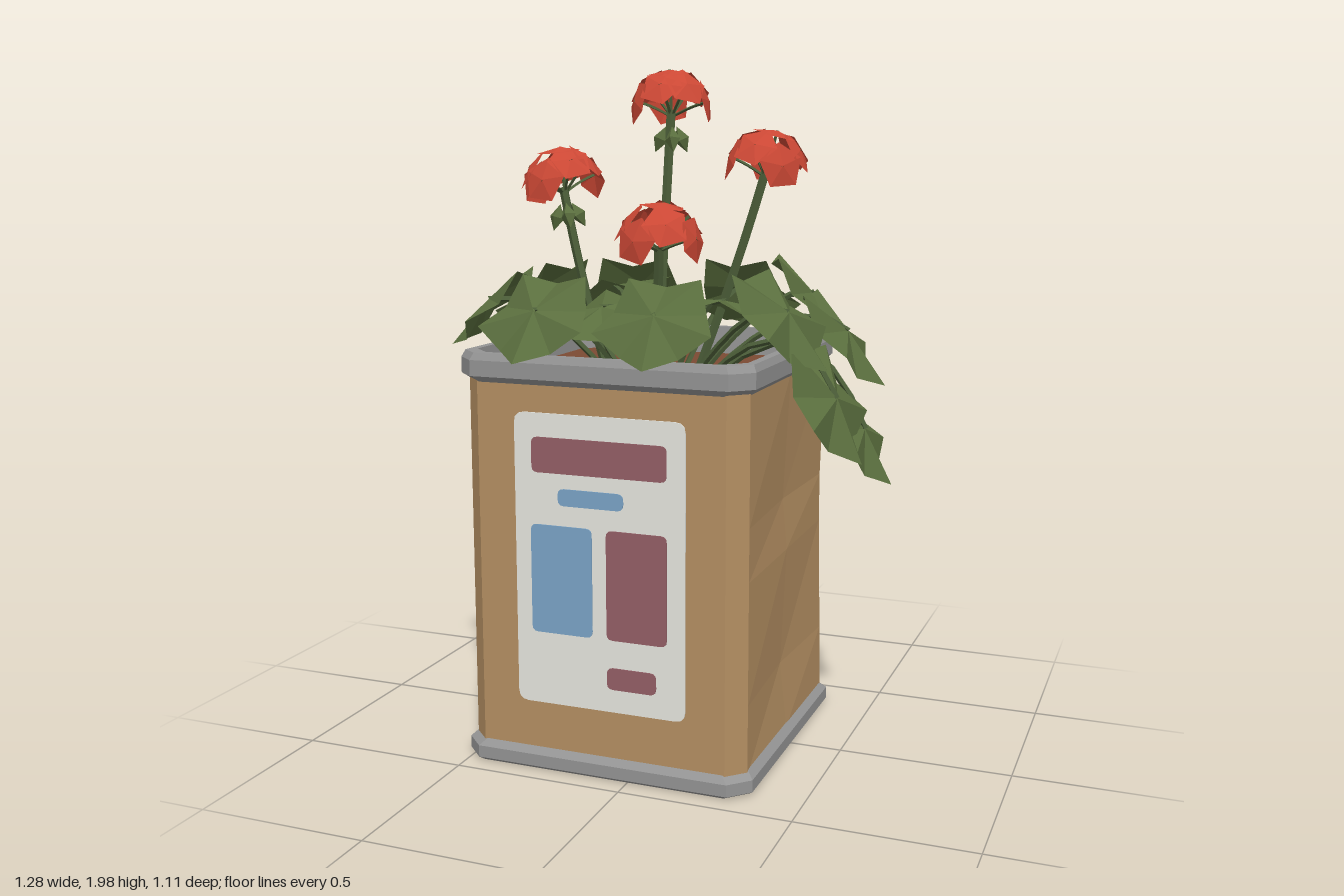
import * as THREE from 'three';

const mat = (name, color, extra = {}) => {
  const m = new THREE.MeshStandardMaterial({ color, flatShading: true, ...extra });
  m.name = name;
  return m;
};
const both = { side: THREE.DoubleSide };

// Can centre on the ground plane
const CX = -0.083, CZ = 0.008;

// Flat-faced mesh geometry from closed rings of points, bottom to top
function loft(rings) {
  const pos = [];
  for (let r = 0; r < rings.length - 1; r++) {
    const lo = rings[r], hi = rings[r + 1], n = lo.length;
    for (let i = 0; i < n; i++) {
      const j = (i + 1) % n;
      for (const p of [lo[i], lo[j], hi[j], lo[i], hi[j], hi[i]]) pos.push(...p);
    }
  }
  const g = new THREE.BufferGeometry();
  g.setAttribute('position', new THREE.Float32BufferAttribute(pos, 3));
  g.computeVertexNormals();
  return g;
}

// Square with cut corners, as [x, z] pairs
function octagon(h, cut) {
  const k = h - cut;
  return [[-k, h], [k, h], [h, k], [h, -k], [k, -h], [-k, -h], [-h, -k], [-h, k]];
}
const octRing = ([h, y]) => octagon(h, 0.057).map(([x, z]) => [x + CX, y, z + CZ]);

function octPlate(h) {
  return new THREE.ShapeGeometry(new THREE.Shape(octagon(h, 0.057).map(([x, z]) => new THREE.Vector2(x, z))));
}

// Rounded plate given by its edges
function plate(x0, x1, y0, y1, r) {
  const s = new THREE.Shape();
  s.moveTo(x0 + r, y0);
  s.lineTo(x1 - r, y0); s.quadraticCurveTo(x1, y0, x1, y0 + r);
  s.lineTo(x1, y1 - r); s.quadraticCurveTo(x1, y1, x1 - r, y1);
  s.lineTo(x0 + r, y1); s.quadraticCurveTo(x0, y1, x0, y1 - r);
  s.lineTo(x0, y0 + r); s.quadraticCurveTo(x0, y0, x0 + r, y0);
  return new THREE.ExtrudeGeometry(s, { depth: 0.004, bevelEnabled: false, curveSegments: 3 });
}

// Star-like pleated fan around a raised or sunken centre
function fan(n, radius, height) {
  const p = [];
  const at = (i) => {
    const a = (i / n) * Math.PI * 2;
    return [Math.sin(a) * radius(i % n), height(i % n), Math.cos(a) * radius(i % n)];
  };
  for (let i = 0; i < n; i++) p.push(0, 0, 0, ...at(i), ...at(i + 1));
  const g = new THREE.BufferGeometry();
  g.setAttribute('position', new THREE.Float32BufferAttribute(p, 3));
  g.computeVertexNormals();
  return g;
}

const V = (x, y, z) => new THREE.Vector3(x, y, z);
const stalk = (a, b, c, r, sides = 5) =>
  new THREE.TubeGeometry(new THREE.QuadraticBezierCurve3(a, b, c), 6, r, sides, false);

export function createModel() {
  const root = new THREE.Group();
  const M = {
    can: mat('can tan', 0xb48f62),
    metal: mat('rim grey', 0x949494),
    label: mat('label white', 0xe6e6df),
    red: mat('label red', 0x935f66),
    blue: mat('label blue', 0x7aa3c6),
    soil: mat('soil brown', 0x7c4a33),
    leaf: mat('leaf green', 0x5a6e3e, both),
    stem: mat('stem green', 0x4b5d38),
    petal: mat('petal red', 0xcc4835, both),
  };
  const add = (name, geo, material, parent = root) => {
    const m = new THREE.Mesh(geo, material);
    m.name = name;
    parent.add(m);
    return m;
  };

  // Dented can body: each column is x, z and its inward shift per row
  const h = 0.418, k = 0.368;
  const rows = [0.05, 0.25, 0.6, 0.75, 1.12];
  const none = [0, 0, 0, 0, 0];
  const columns = [
    [-k, h, none], [k, h, none], [h, k, none],
    [h, 0, [0, 0.022, 0.006, 0.02, 0], 'x'],
    [h, -k, [0, 0.004, 0.012, 0.012, 0], 'x'],
    [k, -h, [0, 0.01, 0.03, 0.045, 0], 'z'],
    [0.05, -h, [0, 0.035, 0.015, 0.06, 0], 'z'],
    [-k, -h, [0, 0.012, 0.022, 0.018, 0], 'z'],
    [-h, -k, none], [-h, k, none],
  ];
  add('canBody', loft(rows.map((y, r) => columns.map(([x, z, d, axis]) =>
    [CX + x - (axis === 'x' ? d[r] : 0), y, CZ + z + (axis === 'z' ? d[r] : 0)]))), M.can);

  // Metal rims, base and soil
  add('bottomRim', loft([[0.425, 0], [0.437, 0.01], [0.437, 0.045], [0.415, 0.066]].map(octRing)), M.metal);
  add('topRim', loft([[0.415, 1.11], [0.437, 1.13], [0.437, 1.175], [0.428, 1.195],
    [0.403, 1.195], [0.397, 1.08]].map(octRing)), M.metal);
  const base = add('canBase', octPlate(0.425), M.metal);
  base.rotation.x = Math.PI / 2;
  base.position.set(CX, 0, CZ);
  const soil = add('soil', octPlate(0.4), M.soil);
  soil.rotation.x = -Math.PI / 2;
  soil.position.set(CX, 1.11, CZ);

  // Front label with its colour blocks
  const label = new THREE.Group();
  label.name = 'label';
  label.position.z = CZ + h;
  root.add(label);
  add('labelPaper', plate(-0.336, 0.172, 0.2, 1.037, 0.03), M.label, label);
  for (const [x0, x1, y0, y1, m] of [
    [-0.283, 0.119, 0.87, 0.97, M.red], [-0.204, -0.008, 0.78, 0.828, M.blue],
    [-0.288, -0.103, 0.41, 0.722, M.blue], [-0.06, 0.119, 0.41, 0.722, M.red],
    [-0.06, 0.087, 0.267, 0.33, M.red],
  ]) add('labelBlock', plate(x0, x1, y0, y1, 0.018), m, label).position.z = 0.003;

  // Leaves: centre, outward direction (x, z), tilt in degrees, size
  const leafGeo = fan(10, (i) => (i % 2 ? 0.138 : 0.175), (i) => (i % 2 ? -0.045 : -0.015));
  const leaves = [
    [-0.31, 1.32, -0.43, -0.2, -1, 45, 1], [0.06, 1.32, -0.44, 0.1, -1, 47, 1],
    [-0.26, 1.32, 0.45, -0.1, 1, 45, 0.98], [0.09, 1.32, 0.45, 0.1, 1, 45, 0.98],
    [-0.53, 1.32, -0.12, -1, -0.2, 45, 1.05], [-0.53, 1.32, 0.2, -1, 0.25, 45, 1],
    [0.33, 1.33, -0.23, 1, -0.3, 52, 1.05], [0.46, 1.23, -0.15, 1, -0.1, 50, 1.1],
    [0.37, 1.31, 0.15, 1, 0.15, 48, 1.12], [0.51, 1.08, 0.15, 1, 0.15, 62, 1.1],
    [0.55, 0.97, -0.01, 1, 0, 58, 1],
    [-0.28, 1.34, -0.14, -0.7, -0.6, 18, 1.12], [-0.17, 1.31, 0.2, -0.3, 1, 18, 1.08],
    [0.13, 1.32, 0, 0.2, -0.5, 12, 1.08],
  ];
  for (const [x, y, z, dx, dz, tilt, size] of leaves) {
    const leaf = add('leaf', leafGeo, M.leaf);
    leaf.position.set(x, y, z);
    leaf.rotation.set(THREE.MathUtils.degToRad(tilt), Math.atan2(dx, dz), 0, 'YXZ');
    leaf.scale.setScalar(size);
    add('leafStalk', stalk(V(CX + (x - CX) * 0.3, 1.1, z * 0.3),
      V(CX + (x - CX) * 0.75, Math.max(y, 1.36), z * 0.75), V(x, y, z), 0.009, 4), M.stem);
  }

  // Flower heads: hub, stem foot, lean (x, z), hanging buds
  const petalGeo = fan(5, () => 0.068, () => -0.014);
  const up = V(0, 1, 0);
  const flowers = [
    [V(-0.09, 1.865, -0.14), V(-0.1, 1.1, -0.05), 0, 0, true],
    [V(-0.37, 1.64, 0.02), V(-0.23, 1.1, 0.03), -0.15, 0, true],
    [V(0.22, 1.69, -0.1), V(0.03, 1.1, -0.05), 0.15, 0, false],
    [V(0.01, 1.49, 0.21), V(-0.04, 1.1, 0.12), 0.05, 0.12, false],
  ];
  flowers.forEach(([hub, foot, lx, lz, buds], f) => {
    const mid = foot.clone().lerp(hub, 0.5);
    mid.x += lx * 0.1;
    add('flowerStem', stalk(foot, mid, hub, 0.014), M.stem);
    const head = new THREE.Group();
    head.name = 'flowerHead';
    head.position.copy(hub);
    head.quaternion.setFromUnitVectors(up, V(lx, 1, lz).normalize());
    root.add(head);
    for (let i = 0; i < 8; i++) {
      // One floret on top, the rest around it at two alternating heights
      const polar = i === 0 ? 0.12 : i % 2 ? 0.9 : 1.35;
      const a = (i / 7) * Math.PI * 2 + f * 0.8;
      const dir = V(Math.sin(polar) * Math.sin(a), Math.cos(polar), Math.sin(polar) * Math.cos(a));
      const end = dir.clone().multiplyScalar(0.118);
      const floret = add('floret', petalGeo, M.petal, head);
      floret.position.copy(end);
      floret.quaternion.setFromUnitVectors(up, dir);
      floret.rotateY(i * 1.3);
      add('floretStalk', stalk(V(0, -0.02, 0), end.clone().multiplyScalar(0.5), end, 0.005, 3), M.stem, head);
    }
    // Small buds hanging beneath the head
    for (let i = 0; buds && i < 4; i++) {
      const a = (i / 4) * Math.PI * 2 + 0.5;
      const bud = add('bud', new THREE.OctahedronGeometry(0.024), M.leaf, head);
      bud.scale.y = 1.7;
      bud.position.set(Math.sin(a) * 0.032, -0.085, Math.cos(a) * 0.032);
      bud.rotation.set(-Math.cos(a) * 0.4, 0, Math.sin(a) * 0.4);
    }
  });

  return root;
}
